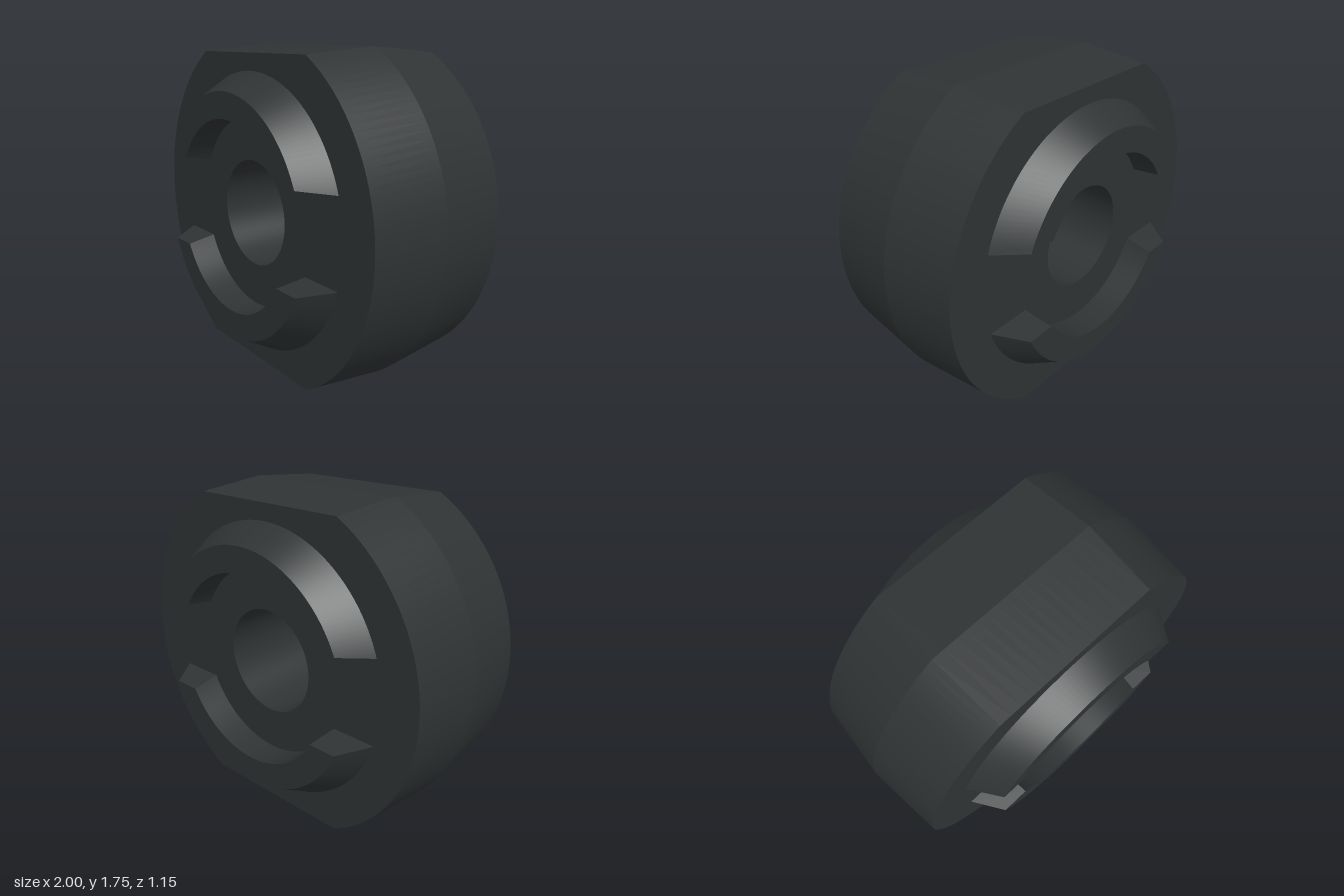
import * as THREE from 'three';
import { toCreasedNormals } from 'three/addons/utils/BufferGeometryUtils.js';

const FLAT = 0.875;      // half height between the two flats (full radius is 1)
const FACE_Z = 0.412;    // half thickness of the body
const RIB_Z = 0.577;     // height of the raised ribs
const HOLE_R = 0.287;

const material = new THREE.MeshStandardMaterial({ color: 0x2f3334 });

const polar = (r, a, z) => [r * Math.cos(a), r * Math.sin(a), z];

// Skins a row of closed cross-sections; capped adds end faces (four-point sections).
function loft(sections, capped) {
  const pos = [];
  const quad = (a, b, c, d) => pos.push(...a, ...b, ...c, ...a, ...c, ...d);
  for (let i = 0; i < sections.length - 1; i++) {
    const s = sections[i], t = sections[i + 1], n = s.length;
    for (let j = 0; j < n; j++) quad(s[j], s[(j + 1) % n], t[(j + 1) % n], t[j]);
  }
  if (capped) {
    const [a, b, c, d] = sections[0];
    quad(d, c, b, a);
    quad(...sections[sections.length - 1]);
  }
  const geometry = new THREE.BufferGeometry();
  geometry.setAttribute('position', new THREE.Float32BufferAttribute(pos, 3));
  return toCreasedNormals(geometry, 0.16);
}

// Body: a bored disc with top and bottom flats, widest at mid thickness
function bodyGeometry() {
  const corner = Math.asin(FLAT);
  const stops = [-corner, corner, Math.PI - corner, Math.PI + corner, 2 * Math.PI - corner];
  const angles = [];
  for (let s = 0; s < 4; s++) {
    const steps = s % 2 ? 16 : 48;
    for (let i = 0; i < steps; i++) angles.push(THREE.MathUtils.lerp(stops[s], stops[s + 1], i / steps));
  }
  angles.push(angles[0]);
  return loft(angles.map((a) => {
    const r = Math.min(1, FLAT / Math.abs(Math.sin(a)));
    return [
      polar(HOLE_R, a, -FACE_Z),
      polar(HOLE_R, a, FACE_Z),
      polar(r * 0.962, a, FACE_Z),
      polar(r, a, 0),
      polar(r * 0.962, a, -FACE_Z),
    ];
  }), false);
}

// Rib: arc with a straight inner wall, sloped outer wall and drafted ends
function ribGeometry() {
  // radius, z, height of the end face above the centre line
  const profile = [
    [0.515, FACE_Z, 0.23], [0.515, RIB_Z, 0.255],
    [0.655, RIB_Z, 0.255], [0.75, FACE_Z, 0.23],
  ];
  const sections = [];
  for (let i = 0; i <= 64; i++) {
    sections.push(profile.map(([r, z, end]) => {
      const start = Math.asin(end / r);
      return polar(r, THREE.MathUtils.lerp(start, Math.PI - start, i / 64), z);
    }));
  }
  return loft(sections, true);
}

export function createModel() {
  const model = new THREE.Group();
  model.name = 'bushing';

  const body = new THREE.Mesh(bodyGeometry(), material);
  body.name = 'body';
  body.position.y = FLAT;
  model.add(body);

  // Two ribs on each face
  const rib = ribGeometry();
  for (const side of ['front', 'back']) {
    const pair = new THREE.Group();
    pair.name = side + 'Ribs';
    pair.position.y = FLAT;
    pair.rotation.y = side === 'back' ? Math.PI : 0;
    for (const place of ['Upper', 'Lower']) {
      const mesh = new THREE.Mesh(rib, material);
      mesh.name = side + place + 'Rib';
      mesh.rotation.z = place === 'Lower' ? Math.PI : 0;
      pair.add(mesh);
    }
    model.add(pair);
  }
  return model;
}
